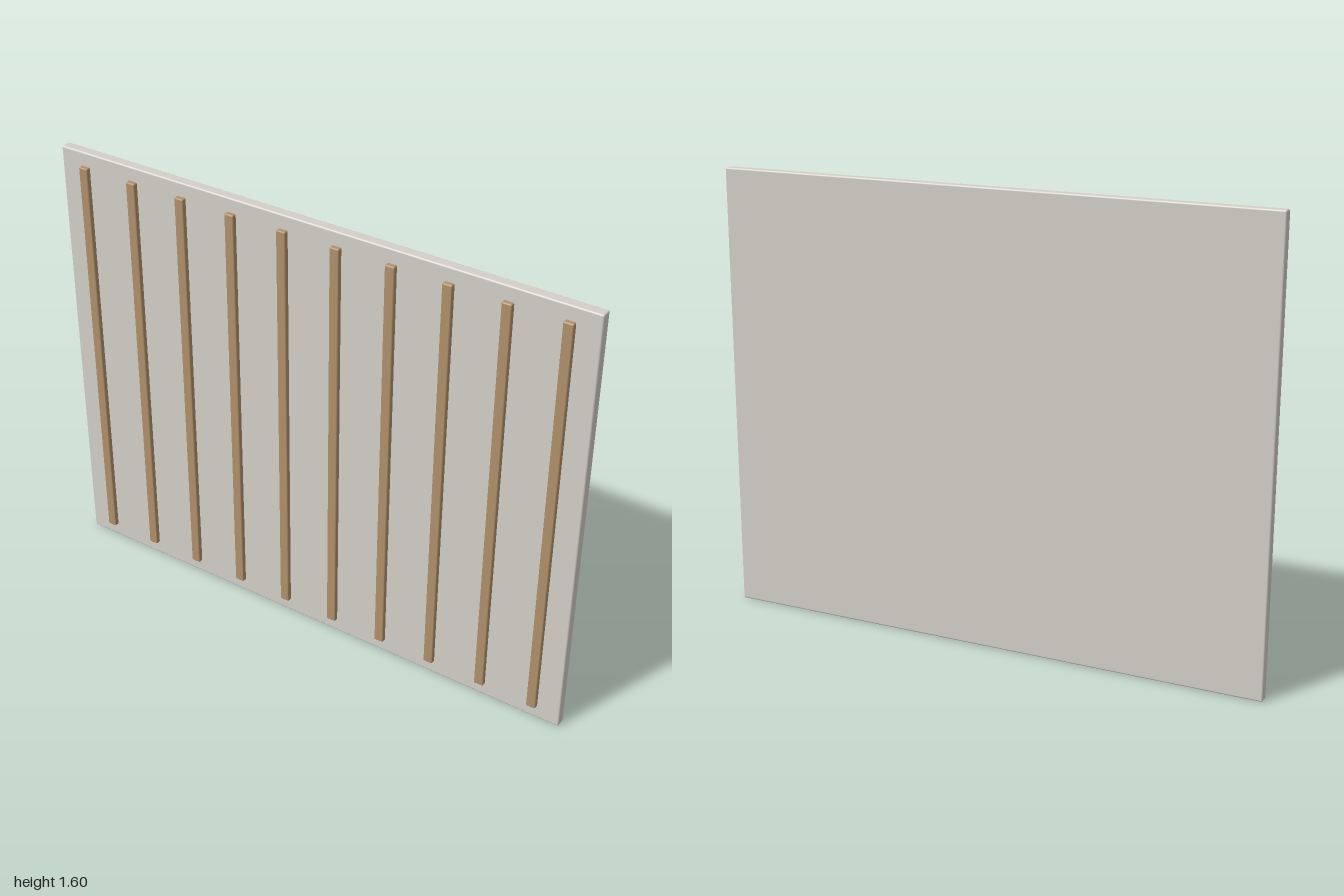
import * as THREE from 'three';
import { RoundedBoxGeometry } from 'three/addons/geometries/RoundedBoxGeometry.js';

const HEIGHT = 1.6;
const SLATS = 10;

export function createModel() {
  const model = new THREE.Group();
  model.name = 'slattedWallPanel';

  const panelMaterial = new THREE.MeshStandardMaterial({ color: 0xd4d0c8 });
  const slatMaterial = new THREE.MeshStandardMaterial({ color: 0xb0916b });

  // Backing panel with softly eased edges
  const panel = new THREE.Mesh(new RoundedBoxGeometry(2, HEIGHT, 0.038, 3, 0.006), panelMaterial);
  panel.name = 'panel';
  panel.position.set(0, HEIGHT / 2, -0.0085);
  model.add(panel);

  // Evenly spaced vertical slats, slightly sunk into the panel's front
  const slatGeometry = new RoundedBoxGeometry(0.035, 1.5, 0.02, 3, 0.005);
  for (let i = 0; i < SLATS; i++) {
    const slat = new THREE.Mesh(slatGeometry, slatMaterial);
    slat.name = `slat${i + 1}`;
    slat.position.set(-0.9 + i * 0.2, HEIGHT / 2, 0.0175);
    model.add(slat);
  }

  return model;
}
